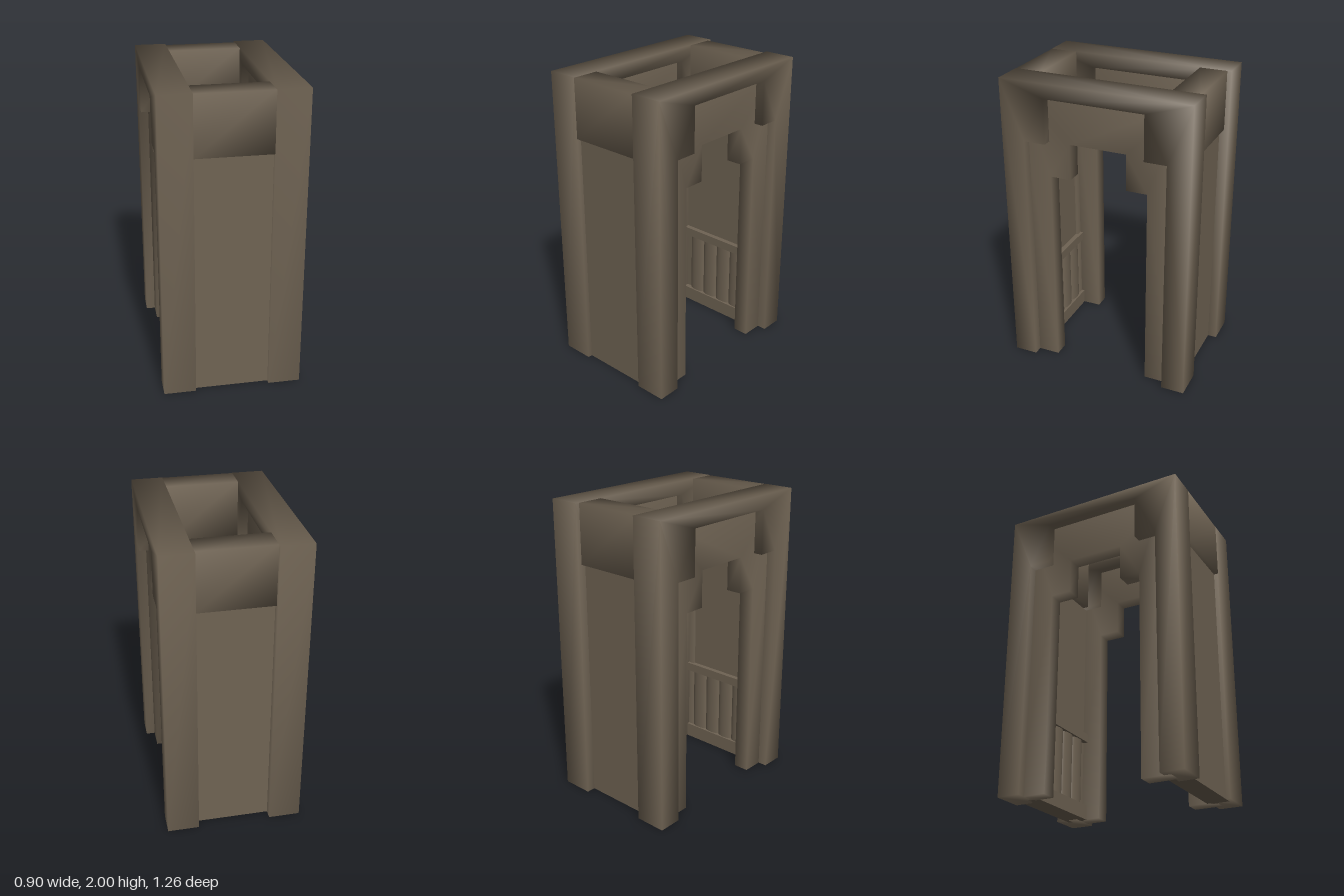
import * as THREE from 'three';
import { mergeVertices } from 'three/addons/utils/BufferGeometryUtils.js';

const stone = new THREE.MeshStandardMaterial({ color: 0x6f6353 });
stone.name = 'brown stone';

// Share corner vertices so the shading rolls softly around the edges
function soften(geometry) {
  geometry.deleteAttribute('normal');
  geometry.deleteAttribute('uv');
  const merged = mergeVertices(geometry, 1e-4);
  merged.computeVertexNormals();
  return merged;
}

function add(parent, name, geometry) {
  const mesh = new THREE.Mesh(geometry, stone);
  mesh.name = name;
  parent.add(mesh);
  return mesh;
}

// Box given by its limits on each axis
function block(parent, name, [x0, x1], [y0, y1], [z0, z1], soft = false) {
  const g = new THREE.BoxGeometry(x1 - x0, y1 - y0, z1 - z0);
  g.translate((x0 + x1) / 2, (y0 + y1) / 2, (z0 + z1) / 2);
  return add(parent, name, soft ? soften(g) : g);
}

// Stepped arch: outer rectangle and the right half of its opening, mirrored
function archLayer(halfWidth, height, opening, x0, x1) {
  const half = [[halfWidth, 0], [halfWidth, height]];
  const mirror = (pts) => pts.map(([a, b]) => [-a, b]).reverse();
  const outline = [...half, ...mirror(half), ...mirror(opening).reverse(), ...opening.slice().reverse()];
  const shape = new THREE.Shape(outline.map(([a, b]) => new THREE.Vector2(a, b)));
  const g = new THREE.ExtrudeGeometry(shape, { depth: x1 - x0, bevelEnabled: false });
  g.rotateY(Math.PI / 2);
  g.translate(x0, 0, 0);
  return soften(g);
}

// Solid end wall; the inner face points towards -z
function endWall(name) {
  const wall = new THREE.Group();
  wall.name = name;
  const w = [-0.245, 0.245];
  block(wall, 'lintel', [-0.242, 0.242], [1.61, 1.998], [0.45, 0.63], true);
  block(wall, 'panel', [-0.3, 0.3], [0, 1.62], [0.49, 0.6]);
  block(wall, 'bottomRail', [-0.29, 0.29], [0, 0.1], [0.455, 0.5]);
  block(wall, 'topRail', [-0.29, 0.29], [0.55, 0.61], [0.455, 0.5]);

  // Rounded upright boards between the rails
  const count = 4;
  const pitch = (w[1] - w[0]) / count;
  for (let i = 0; i < count; i++) {
    const g = new THREE.CylinderGeometry(pitch / 2, pitch / 2, 0.46, 10, 1, true, Math.PI / 2, Math.PI);
    g.scale(1, 1, 0.4);
    g.translate(w[0] + pitch * (i + 0.5), 0.325, 0.49);
    add(wall, 'board', g);
  }
  return wall;
}

export function createModel() {
  const model = new THREE.Group();
  model.name = 'gateway';

  // Side frames: a thick arch with a thinner stepped arch set inside it
  for (const side of [-1, 1]) {
    const frame = new THREE.Group();
    frame.name = side > 0 ? 'leftFrame' : 'rightFrame';
    const [a, b] = side > 0 ? [0.242, 0.451] : [-0.451, -0.242];
    const [c, d] = side > 0 ? [0.285, 0.39] : [-0.39, -0.285];
    add(frame, 'outerArch', archLayer(0.63, 2,
      [[0.475, 0], [0.475, 1.61], [0.33, 1.61], [0.33, 1.905]], a, b));
    add(frame, 'innerArch', archLayer(0.52, 1.95,
      [[0.33, 0], [0.33, 1.37], [0.19, 1.37], [0.19, 1.61]], c, d));
    model.add(frame);
  }

  // End walls; the back one sits slightly further in
  model.add(endWall('frontWall'));
  const back = endWall('backWall');
  back.rotation.y = Math.PI;
  back.position.z = 0.03;
  model.add(back);

  return model;
}
